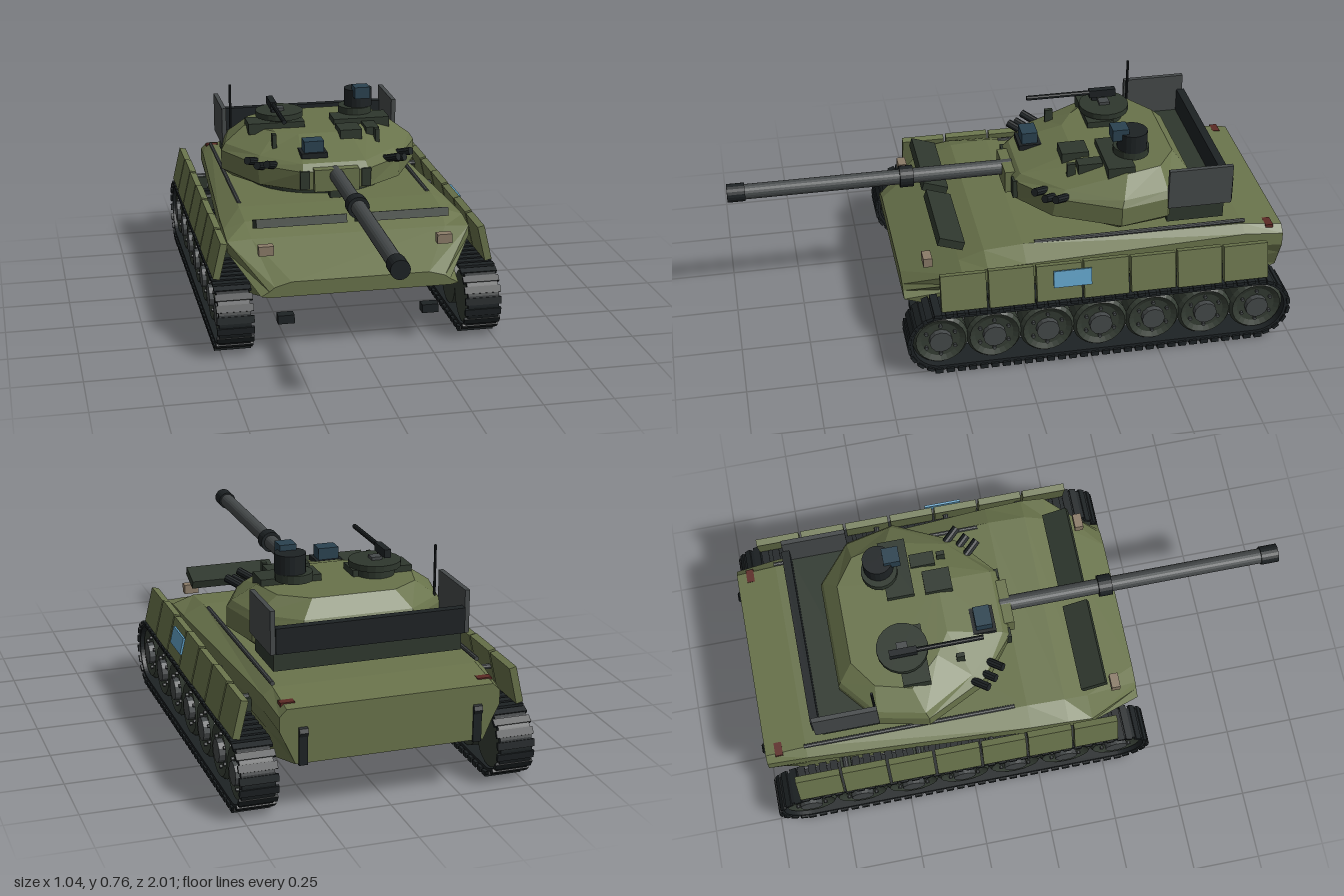
import * as THREE from 'three';

const mat = (color) => new THREE.MeshStandardMaterial({ color, flatShading: true, side: THREE.DoubleSide });
const OLIVE = mat(0x69734b), DARK = mat(0x2e372d), BLACK = mat(0x1d2224), WHEEL = mat(0x343c33);
const STEEL = mat(0x45494a), GLASS = mat(0x2a4250), BLUE = mat(0x5f9fc4), LAMP = mat(0x8a7b68), RED = mat(0x5c2a25);

export function createModel() {
  const model = new THREE.Group();

  const add = (name, geometry, material, x = 0, y = 0, z = 0, parent = model) => {
    const mesh = new THREE.Mesh(geometry, material);
    mesh.name = name;
    mesh.position.set(x, y, z);
    parent.add(mesh);
    return mesh;
  };
  const box = (name, material, w, h, d, x, y, z, parent) =>
    add(name, new THREE.BoxGeometry(w, h, d), material, x, y, z, parent);
  // Cylinder along the given axis
  const rod = (name, material, r, length, axis, x, y, z, sides = 16, parent = model) => {
    const g = new THREE.CylinderGeometry(r, r, length, sides);
    if (axis === 'x') g.rotateZ(Math.PI / 2);
    if (axis === 'z') g.rotateX(Math.PI / 2);
    return add(name, g, material, x, y, z, parent);
  };

  // Solid through mirrored half outlines; place() turns a 2D point and a level into a 3D point
  const loft = (sections, place) => {
    const rings = sections.map(([level, half]) => [
      ...half.map(([a, b]) => place(a, b, level)),
      ...half.map(([a, b]) => place(-a, b, level)).reverse(),
    ]);
    const pos = [], n = rings[0].length;
    const tri = (...points) => points.forEach((p) => pos.push(...p));
    for (let i = 0; i < rings.length - 1; i++) {
      for (let j = 0; j < n; j++) {
        const k = (j + 1) % n, lo = rings[i], hi = rings[i + 1];
        tri(lo[j], lo[k], hi[k]);
        tri(lo[j], hi[k], hi[j]);
      }
    }
    const first = rings[0], last = rings[rings.length - 1];
    for (let j = 1; j < n - 1; j++) {
      tri(first[0], first[j + 1], first[j]);
      tri(last[0], last[j], last[j + 1]);
    }
    const g = new THREE.BufferGeometry();
    g.setAttribute('position', new THREE.Float32BufferAttribute(pos, 3));
    g.computeVertexNormals();
    return g;
  };

  // Hull: cross-sections from rear to nose
  add('hull', loft([
    [-0.99, [[0.33, 0.19], [0.36, 0.26], [0.385, 0.31], [0.385, 0.36], [0.36, 0.385]]],
    [-0.84, [[0.37, 0.165], [0.38, 0.26], [0.395, 0.33], [0.395, 0.38], [0.36, 0.405]]],
    [-0.02, [[0.37, 0.165], [0.38, 0.26], [0.445, 0.33], [0.445, 0.385], [0.37, 0.422]]],
    [0.12, [[0.37, 0.165], [0.38, 0.26], [0.45, 0.33], [0.45, 0.385], [0.37, 0.412]]],
    [0.21, [[0.37, 0.165], [0.38, 0.26], [0.45, 0.33], [0.45, 0.37], [0.36, 0.375]]],
    [0.41, [[0.33, 0.222], [0.36, 0.228], [0.33, 0.245], [0.31, 0.26], [0.25, 0.277]]],
  ], (x, y, z) => [x, y, z]), OLIVE);

  // Running gear
  const frontZ = 0.3, rearZ = -0.87, axleY = 0.13;
  const stadium = (path, r) => {
    path.absarc(frontZ, axleY, r, -Math.PI / 2, Math.PI / 2, false);
    path.absarc(rearZ, axleY, r, Math.PI / 2, Math.PI * 1.5, false);
    path.closePath();
    return path;
  };
  const belt = stadium(new THREE.Shape(), 0.12);
  belt.holes.push(stadium(new THREE.Path(), 0.102));
  const beltGeo = new THREE.ExtrudeGeometry(belt, { depth: 0.115, bevelEnabled: false, curveSegments: 14 });
  beltGeo.rotateY(-Math.PI / 2).translate(0.0575, 0, 0);
  const wheelProfile = [[0, -0.05], [0.098, -0.05], [0.101, 0.03], [0.09, 0.045], [0.07, 0.035], [0, 0.03]]
    .map(([r, h]) => new THREE.Vector2(r, h));

  for (const s of [-1, 1]) {
    const track = new THREE.Group();
    track.name = s > 0 ? 'leftTrack' : 'rightTrack';
    model.add(track);
    // mirrored z of the extrusion keeps the loop in place
    const loop = add('trackBelt', beltGeo, BLACK, s * 0.455, 0, 0, track);
    loop.updateMatrix();
    for (let i = 0; i < 30; i++) {
      const z = frontZ + 0.01 - (i * (frontZ - rearZ + 0.02)) / 29;
      box('groundPad', BLACK, 0.134, 0.018, 0.028, s * 0.453, 0.009, z, track);
      box('upperPad', BLACK, 0.134, 0.012, 0.028, s * 0.453, 0.25, z, track);
    }
    for (const [z, dir] of [[frontZ, 1], [rearZ, -1]]) {
      for (let i = 1; i < 9; i++) {
        const a = (i / 9 - 0.5) * Math.PI;
        const pad = box('endPad', BLACK, 0.134, 0.012, 0.026,
          s * 0.453, axleY + 0.117 * Math.sin(a), z + dir * 0.117 * Math.cos(a), track);
        pad.rotation.x = dir * (Math.PI / 2 - a);
      }
    }
    for (let i = 0; i < 7; i++) {
      const wheel = new THREE.Group();
      wheel.name = 'roadWheel';
      wheel.position.set(s * 0.455, axleY, frontZ + ((rearZ - frontZ) * i) / 6);
      wheel.rotation.z = -s * Math.PI / 2;
      track.add(wheel);
      add('wheelDisc', new THREE.LatheGeometry(wheelProfile, 24), WHEEL, 0, 0, 0, wheel);
      rod('wheelHub', STEEL, 0.042, 0.03, 'y', 0, 0.04, 0, 12, wheel);
      for (let k = 0; k < 6; k++) {
        const a = (k * Math.PI) / 3;
        rod('wheelBolt', STEEL, 0.007, 0.012, 'y', 0.06 * Math.cos(a), 0.038, 0.06 * Math.sin(a), 6, wheel);
      }
    }

    // Tilted skirt panels with their brackets
    for (let i = 0; i < 7; i++) {
      const panel = box('skirtPanel', OLIVE, 0.026, 0.135 + (i % 2) * 0.006, 0.163,
        s * 0.488, 0.328, 0.215 - i * 0.172);
      panel.rotation.z = s * 0.23;
    }
    for (const z of [0.11, -0.17, -0.44, -0.71]) {
      box('skirtBracket', DARK, 0.05, 0.05, 0.04, s * 0.425, 0.305, z);
      rod('skirtArm', STEEL, 0.01, 0.09, 'x', s * 0.45, 0.33, z, 8);
    }

    // Hull fittings
    box('headlight', LAMP, 0.055, 0.035, 0.032, s * 0.327, 0.37, 0.32);
    box('tailLight', RED, 0.05, 0.022, 0.028, s * 0.345, 0.383, -0.94);
    box('towBlock', BLACK, 0.06, 0.032, 0.04, s * 0.265, 0.122, 0.36);
    box('rearHook', BLACK, 0.03, 0.13, 0.022, s * 0.305, 0.25, -0.985);
    rod('hookPin', BLACK, 0.02, 0.03, 'x', s * 0.305, 0.3, -0.985, 8);
    rod('deckRod', STEEL, 0.008, 0.78, 'z', s * 0.362, 0.42, -0.455, 8);
    const flap = box('glacisPlate', DARK, 0.33, 0.032, 0.095, s * 0.188, 0.44, 0.235);
    flap.rotation.x = -0.33;
  }
  const lens = box('sidePanelBlue', BLUE, 0.008, 0.062, 0.138, 0.508, 0.35, -0.175);
  lens.rotation.z = 0.23;

  // Turret: horizontal outlines from the ring up to the roof
  const turret = new THREE.Group();
  turret.name = 'turret';
  model.add(turret);
  rod('turretRing', DARK, 0.28, 0.04, 'y', 0, 0.42, -0.4, 28, turret);
  add('turretShell', loft([
    [0.43, [[0.1, -0.15], [0.23, -0.22], [0.34, -0.38], [0.31, -0.55], [0.18, -0.64]]],
    [0.462, [[0.125, -0.04], [0.27, -0.15], [0.383, -0.38], [0.345, -0.56], [0.2, -0.68]]],
    [0.535, [[0.125, -0.035], [0.275, -0.16], [0.383, -0.38], [0.345, -0.56], [0.2, -0.68]]],
    [0.56, [[0.12, -0.06], [0.26, -0.2], [0.367, -0.39], [0.33, -0.56], [0.195, -0.67]]],
    [0.618, [[0.1, -0.26], [0.18, -0.31], [0.285, -0.42], [0.25, -0.55], [0.15, -0.62]]],
  ], (x, z, y) => [x, y, z]), OLIVE, 0, 0, 0, turret);

  // Gun
  const gun = new THREE.Group();
  gun.name = 'gun';
  turret.add(gun);
  box('mantlet', OLIVE, 0.17, 0.085, 0.08, 0, 0.505, -0.05, gun);
  rod('gunBarrel', STEEL, 0.028, 1.02, 'z', 0, 0.522, 0.46, 20, gun);
  rod('barrelCollar', BLACK, 0.04, 0.05, 'z', 0, 0.522, 0.345, 20, gun);
  rod('muzzle', BLACK, 0.034, 0.065, 'z', 0, 0.522, 0.9675, 20, gun);
  box('mantletFoot', DARK, 0.045, 0.05, 0.04, 0, 0.455, -0.05, gun);

  for (const s of [-1, 1]) {
    box('cheekBlock', DARK, 0.036, 0.07, 0.05, s * 0.117, 0.503, -0.055, turret);
    box('roofBracket', DARK, 0.016, 0.065, 0.03, s * 0.2, 0.6, -0.23, turret);
    // Smoke launchers
    for (let i = 0; i < 3; i++) {
      const tube = rod('smokeLauncher', BLACK, 0.015, 0.07, 'z',
        s * (0.295 - i * 0.032), 0.548 - (i % 2) * 0.012, -0.175 + i * 0.032, 10, turret);
      tube.rotation.set(-0.3, s * 0.7, 0, 'YXZ');
    }
    box('rackSide', STEEL, 0.017, 0.153, 0.235, s * 0.344, 0.574, -0.675, turret);
    box('rearRoofBlock', DARK, 0.22, 0.042, 0.1, s * 0.168, 0.62, -0.4, turret);
  }

  // Rear rack
  box('rackFloor', DARK, 0.67, 0.07, 0.21, 0, 0.465, -0.665, turret);
  box('rackWall', BLACK, 0.67, 0.09, 0.03, 0, 0.545, -0.785, turret);
  rod('antenna', BLACK, 0.005, 0.25, 'y', -0.318, 0.62, -0.565, 8, turret);

  // Commander hatch with machine gun
  rod('hatchRing', DARK, 0.07, 0.05, 'y', -0.145, 0.63, -0.43, 20, turret);
  rod('hatchLid', DARK, 0.093, 0.022, 'y', -0.145, 0.66, -0.43, 20, turret);
  box('hatchKnob', STEEL, 0.038, 0.012, 0.04, -0.147, 0.676, -0.43, turret);
  rod('machineGun', BLACK, 0.009, 0.27, 'z', -0.175, 0.703, -0.275, 10, turret);
  box('machineGunBody', BLACK, 0.024, 0.03, 0.1, -0.175, 0.7, -0.43, turret);
  box('machineGunMount', BLACK, 0.014, 0.04, 0.02, -0.175, 0.68, -0.4, turret);

  // Panoramic sight and roof equipment
  rod('sightBase', DARK, 0.066, 0.03, 'y', 0.163, 0.652, -0.46, 20, turret);
  rod('sightDrum', BLACK, 0.055, 0.07, 'y', 0.176, 0.7, -0.46, 20, turret);
  box('sightHead', GLASS, 0.06, 0.045, 0.06, 0.177, 0.733, -0.41, turret);
  box('roofBox', DARK, 0.085, 0.045, 0.1, 0.097, 0.615, -0.26, turret);
  box('roofBoxSmall', DARK, 0.05, 0.04, 0.09, 0.19, 0.61, -0.3, turret);
  box('gunnerSightBase', BLACK, 0.1, 0.02, 0.085, -0.07, 0.582, -0.125, turret);
  box('gunnerSight', GLASS, 0.076, 0.05, 0.06, -0.07, 0.61, -0.125, turret);

  return model;
}
